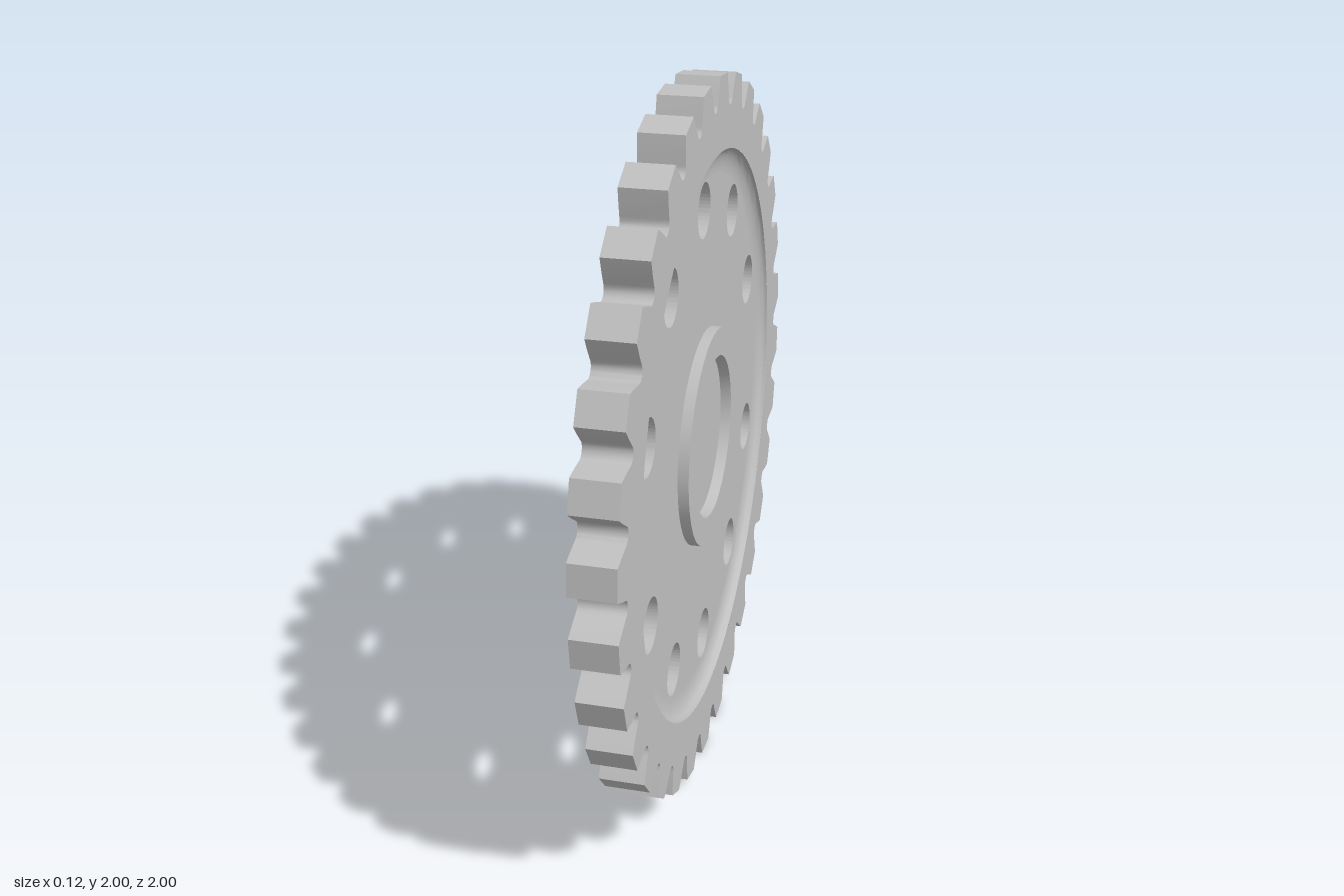
import * as THREE from 'three';
import { toCreasedNormals } from 'three/addons/utils/BufferGeometryUtils.js';

const TEETH = 32;
const HALF = 0.06;   // half thickness of rim and hub
const FLOOR = 0.03;  // half thickness of the recessed web
const RECESS = 0.8;  // radius of the recess edge
const WEB = 0.735;   // radius where the fillet meets the flat web

// Centred extrusion whose axis is turned onto x
function plate(shape, half, curveSegments) {
  const geo = new THREE.ExtrudeGeometry(shape, { depth: half * 2, bevelEnabled: false, curveSegments });
  geo.translate(0, 0, -half);
  geo.rotateY(Math.PI / 2);
  return toCreasedNormals(geo, 0.6);
}

// Lathe whose axis is turned onto x
function turned(points) {
  const geo = new THREE.LatheGeometry(points.map(([r, h]) => new THREE.Vector2(r, h)), 96);
  geo.rotateZ(-Math.PI / 2);
  return toCreasedNormals(geo, 0.6);
}

function circleHole(x, y, r) {
  return new THREE.Path().absarc(x, y, r, 0, Math.PI * 2, true);
}

// Toothed outline: each step is a rounded valley between two tooth flanks
function gearShape() {
  const flank = [[0.056, 0.9995], [0.037, 0.963], [0.024, 0.934], [0.019, 0.924], [0.011, 0.918]];
  const valley = [
    ...flank.map(([s, r]) => [-s, r]),
    [0, 0.916],
    ...flank.slice().reverse(),
  ];
  const pts = [];
  for (let i = 0; i < TEETH; i++) {
    const a = (-i / TEETH) * Math.PI * 2;
    for (const [s, r] of valley) {
      pts.push(new THREE.Vector2(
        s * Math.cos(a) - r * Math.sin(a),
        s * Math.sin(a) + r * Math.cos(a)
      ));
    }
  }
  return new THREE.Shape(pts);
}

export function createModel() {
  const model = new THREE.Group();
  model.name = 'gear';
  const steel = new THREE.MeshStandardMaterial({ color: 0xc0c0c0 });
  steel.name = 'steel grey';

  const add = (name, geo) => {
    const mesh = new THREE.Mesh(geo, steel);
    mesh.name = name;
    mesh.position.y = 1;
    model.add(mesh);
  };

  // Toothed rim
  const rim = gearShape();
  rim.holes.push(circleHole(0, 0, RECESS));
  add('toothedRim', plate(rim, HALF, 96));

  // Thin web with ten holes, spaced three teeth apart above and below
  const web = new THREE.Shape().absarc(0, 0, WEB + 0.002, 0, Math.PI * 2, false);
  for (const deg of [0, 33.75, 67.5, 112.5, 146.25, 180, 213.75, 247.5, 292.5, 326.25]) {
    const a = THREE.MathUtils.degToRad(deg);
    web.holes.push(circleHole(0.657 * Math.sin(a), 0.657 * Math.cos(a), 0.075));
  }
  add('web', plate(web, FLOOR, 96));

  // Concave fillets from the rim down to the web, one on each face
  const arc = [];
  for (let i = 0; i <= 8; i++) {
    const t = (i / 8) * Math.PI / 2;
    arc.push([
      RECESS - (RECESS - WEB) * (1 - Math.cos(t)),
      HALF - (HALF - FLOOR) * Math.sin(t),
    ]);
  }
  // Run the arc so it is steep at the rim and flat at the web
  add('filletLeft', turned(arc));
  add('filletRight', turned(arc.map(([r, h]) => [r, -h]).reverse()));

  // Raised hub ring on both faces
  add('hubRing', turned([
    [0.225, -FLOOR], [0.23, -HALF], [0.31, -HALF],
    [0.31, HALF], [0.23, HALF], [0.225, FLOOR],
  ]));

  return model;
}
